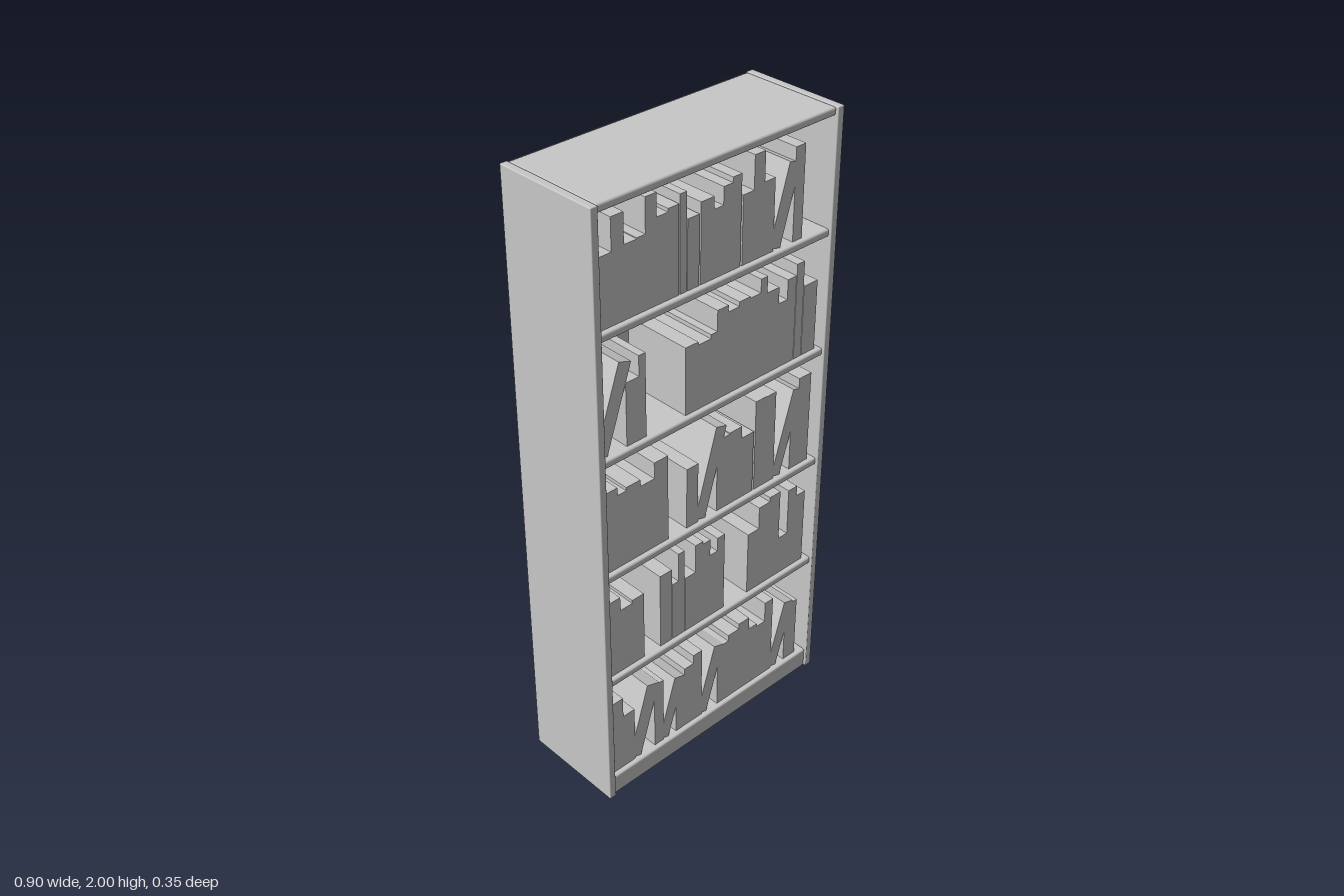
import * as THREE from 'three';
import { RoundedBoxGeometry } from 'three/addons/geometries/RoundedBoxGeometry.js';

const SHELF_TOPS = [0.072, 0.466, 0.855, 1.248, 1.637];
const BOOK_DEPTH = 0.23;
const BOOK_Z = 0.15 - BOOK_DEPTH / 2;

export function createModel() {
  const model = new THREE.Group();
  model.name = 'bookcase';
  const grey = new THREE.MeshStandardMaterial({ color: 0xc8c8c8 });
  grey.name = 'light grey';

  const add = (parent, name, geometry, x, y, z) => {
    const mesh = new THREE.Mesh(geometry, grey);
    mesh.name = name;
    mesh.position.set(x, y, z);
    parent.add(mesh);
    return mesh;
  };

  // Side panels
  for (const [name, s] of [['leftSide', 1], ['rightSide', -1]]) {
    add(model, name, new RoundedBoxGeometry(0.024, 2, 0.346, 2, 0.003), s * 0.437, 1, 0);
  }

  // Back panel and kickboard
  add(model, 'backPanel', new THREE.BoxGeometry(0.852, 1.995, 0.007), 0, 0.9985, -0.1685);
  add(model, 'kickboard', new THREE.BoxGeometry(0.852, 0.066, 0.022), 0, 0.034, 0.152);

  // Shelves with softly rounded edges, including the top board
  for (const y of [...SHELF_TOPS, 1.999]) {
    add(model, 'shelf', new RoundedBoxGeometry(0.852, 0.025, 0.336, 3, 0.007), 0, y - 0.0125, -0.002);
  }

  const rows = SHELF_TOPS.map((y, i) => {
    const row = new THREE.Group();
    row.name = `bookRow${i + 1}`;
    row.position.y = y;
    model.add(row);
    return row;
  });

  // A run of equally thick upright books filling the span x0 to x1
  const stand = (row, x0, x1, ...heights) => {
    const w = (x1 - x0) / heights.length;
    heights.forEach((h, i) => {
      add(row, 'uprightBook', new THREE.BoxGeometry(w, h, BOOK_DEPTH), x0 + (i + 0.5) * w, h / 2, BOOK_Z);
    });
  };

  // A book tilted to +x about its lower corner at x
  const lean = (row, x, w, length, tilt) => {
    const geometry = new THREE.BoxGeometry(w, length, BOOK_DEPTH).translate(-w / 2, length / 2, 0);
    add(row, 'leaningBook', geometry, x, 0, BOOK_Z).rotation.z = -THREE.MathUtils.degToRad(tilt);
  };

  const [first, second, third, fourth, fifth] = rows;

  // Bottom row
  stand(first, -0.413, -0.323, 0.281, 0.207);
  lean(first, -0.299, 0.05, 0.265, 17);
  stand(first, -0.241, -0.204, 0.25);
  lean(first, -0.183, 0.04, 0.225, 17);
  stand(first, -0.151, -0.04, 0.212, 0.238, 0.27);
  lean(first, -0.019, 0.042, 0.25, 17);
  stand(first, 0.029, 0.167, 0.238, 0.26, 0.28);
  stand(first, 0.167, 0.275, 0.233, 0.222, 0.297);
  lean(first, 0.299, 0.042, 0.245, 17);
  stand(first, 0.336, 0.389, 0.228);

  // Second row
  stand(second, -0.413, -0.278, 0.278, 0.23, 0.241);
  stand(second, -0.214, -0.167, 0.267);
  stand(second, -0.164, -0.116, 0.209, 0.31);
  stand(second, -0.114, -0.071, 0.204);
  stand(second, -0.071, 0.05, 0.304, 0.294, 0.235, 0.283);
  stand(second, 0.151, 0.288, 0.225, 0.304, 0.32);
  stand(second, 0.288, 0.4, 0.14, 0.304, 0.267);

  // Third row
  stand(third, -0.413, -0.368, 0.275);
  stand(third, -0.368, -0.336, 0.249);
  stand(third, -0.336, -0.18, 0.26, 0.238, 0.291);
  stand(third, -0.108, -0.063, 0.207);
  lean(third, -0.034, 0.042, 0.298, 16);
  stand(third, 0.012, 0.161, 0.249, 0.253, 0.212);
  stand(third, 0.167, 0.251, 0.312, 0.31);
  lean(third, 0.278, 0.038, 0.286, 17);
  stand(third, 0.32, 0.349, 0.238);
  stand(third, 0.349, 0.4, 0.312);

  // Fourth row
  lean(fourth, -0.399, 0.045, 0.275, 19);
  stand(fourth, -0.33, -0.283, 0.201);
  stand(fourth, -0.283, -0.259, 0.265);
  stand(fourth, -0.114, -0.019, 0.217, 0.207);
  stand(fourth, -0.019, 0.005, 0.22);
  stand(fourth, 0.005, 0.172, 0.286, 0.265, 0.28, 0.275);
  stand(fourth, 0.172, 0.198, 0.318);
  stand(fourth, 0.198, 0.246, 0.265);
  stand(fourth, 0.246, 0.315, 0.212, 0.275);
  stand(fourth, 0.317, 0.347, 0.31);
  stand(fourth, 0.349, 0.405, 0.228);

  // Top row
  stand(fifth, -0.41, -0.283, 0.209, 0.305, 0.215);
  stand(fifth, -0.283, -0.254, 0.218);
  stand(fifth, -0.254, -0.138, 0.32, 0.252, 0.262);
  stand(fifth, -0.135, -0.111, 0.288);
  stand(fifth, -0.108, -0.066, 0.209);
  stand(fifth, -0.061, -0.013, 0.241);
  stand(fifth, -0.013, 0.087, 0.204, 0.257, 0.273);
  stand(fifth, 0.093, 0.214, 0.209, 0.31, 0.22);
  lean(fifth, 0.241, 0.044, 0.246, 16.5);
  stand(fifth, 0.291, 0.328, 0.283);

  return model;
}
